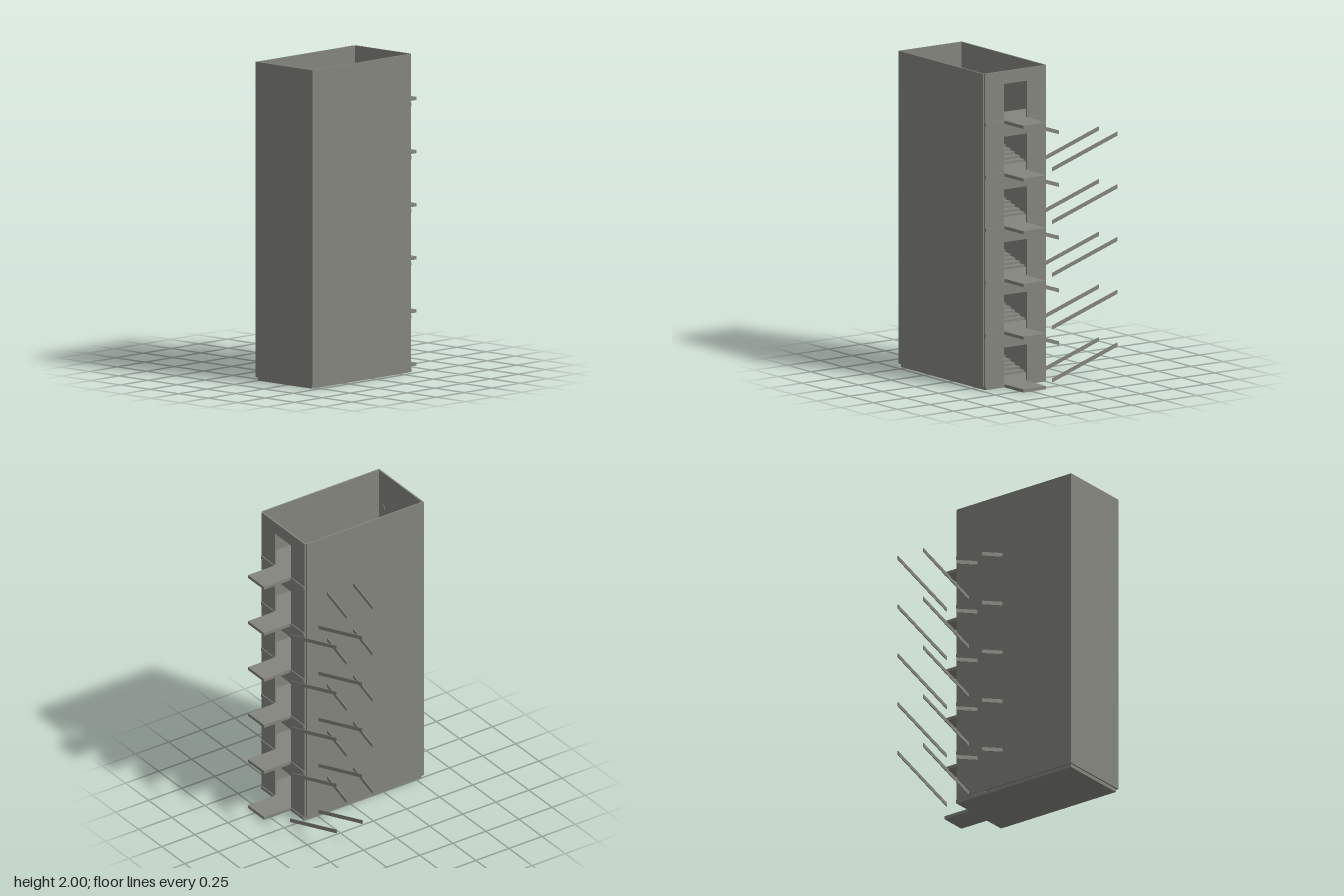
import * as THREE from 'three';

const PITCH = 1 / 3;          // storey height
const HALF = PITCH / 2;       // rise of one flight
const FLOOR = 0.022;          // top of the ground slab
const RUN = 0.5, STEPS = 10;

const concrete = new THREE.MeshStandardMaterial({ color: 0x84857e });
concrete.name = 'concrete grey';

// Box given by its limits on each axis
function box(name, x0, x1, y0, y1, z0, z1) {
  const mesh = new THREE.Mesh(new THREE.BoxGeometry(x1 - x0, y1 - y0, z1 - z0), concrete);
  mesh.position.set((x0 + x1) / 2, (y0 + y1) / 2, (z0 + z1) / 2);
  mesh.name = name;
  return mesh;
}

function extrude(name, points, depth) {
  const shape = new THREE.Shape(points.map(([x, y]) => new THREE.Vector2(x, y)));
  const mesh = new THREE.Mesh(
    new THREE.ExtrudeGeometry(shape, { depth, bevelEnabled: false }), concrete);
  mesh.name = name;
  return mesh;
}

// Side profile of a flight: treads above, sloped soffit below
function flightProfile() {
  const rise = HALF / (STEPS + 1), tread = RUN / STEPS;
  const points = [[0, -0.02]];
  for (let i = 0; i < STEPS; i++) {
    points.push([i * tread, (i + 1) * rise], [(i + 1) * tread, (i + 1) * rise]);
  }
  points.push([RUN, HALF - 0.03]);
  return points;
}

// Sloping bar: 0.5 long in plan, rising by half a storey
const barProfile = [[0, -0.01], [RUN, HALF - 0.01], [RUN, HALF + 0.015], [0, 0.015]];

// Flight climbing along local +x, with a stringer on its well side
function flight(name, wellSide) {
  const group = new THREE.Group();
  group.name = name;
  const steps = extrude('steps', flightProfile(), 0.195);
  const stringer = extrude('stringer', barProfile, 0.005);
  stringer.position.z = wellSide;
  group.add(steps, stringer);
  return group;
}

export function createModel() {
  const model = new THREE.Group();
  model.name = 'stairTower';

  // Outer walls on three sides
  model.add(
    box('rightWall', -0.01, 0, FLOOR, 2, -0.336, 0.55),
    box('leftWall', 0.465, 0.475, FLOOR, 2, -0.336, 0.55),
    box('frontWall', 0, 0.465, FLOOR, 2, 0.54, 0.55),
    box('groundSlab', 0.002, 0.462, 0, FLOOR, -0.336, 0.54));

  for (let k = 0; k < 6; k++) {
    const y = FLOOR + k * PITCH;
    const storey = new THREE.Group();
    storey.name = 'storey' + k;
    model.add(storey);

    // Landing with its lip and the balcony slab behind the doorway
    storey.add(
      box('landingLip', 0.001, 0.464, y - 0.02, y, -0.352, -0.336),
      box('balcony', 0.145, 0.32, y - 0.02, y, -0.55, -0.352));
    if (k > 0) storey.add(box('landing', 0, 0.465, y - 0.02, y, -0.336, -0.13));

    // Back wall panel with a doorway
    const top = k < 5 ? PITCH - 0.02 : 2 - y;
    const back = extrude('backWall', [
      [0, 0], [0.145, 0], [0.145, 0.23], [0.32, 0.23], [0.32, 0],
      [0.465, 0], [0.465, top], [0, top]], 0.011);
    back.position.set(0, y, -0.346);
    storey.add(back);

    // Small round wall lamps
    const lampZ = k < 5 ? [[-0.333, 0.23], [0.538, 0.23 + HALF]] : [[-0.333, 0.23]];
    for (const [z, h] of lampZ) {
      const lamp = new THREE.Mesh(new THREE.CylinderGeometry(0.02, 0.02, 0.005, 16), concrete);
      lamp.rotation.x = Math.PI / 2;
      lamp.position.set(0.42, y + h, z);
      lamp.name = 'wallLamp';
      storey.add(lamp);
    }
    if (k === 5) break;

    // Half landing and the two flights joining it
    storey.add(box('halfLanding', 0, 0.465, y + HALF - 0.02, y + HALF, 0.37, 0.54));
    const lower = flight('lowerFlight', -0.005);
    lower.rotation.y = -Math.PI / 2;
    lower.position.set(0.2, y, -0.13);
    const upper = flight('upperFlight', -0.005);
    upper.rotation.y = Math.PI / 2;
    upper.position.set(0.267, y + HALF, 0.37);
    storey.add(lower, upper);

    // Sloping bars reaching out through the right wall
    for (const z of [-0.442, -0.246]) {
      const bar = extrude('lowerBar', barProfile, 0.005);
      bar.rotation.y = Math.PI;
      bar.position.set(0.02, y, z + 0.005);
      storey.add(bar);
    }
    for (const z of [-0.183, 0.013]) {
      const bar = extrude('upperBar', barProfile, 0.005);
      bar.position.set(-0.22, y + HALF - 0.003, z);
      storey.add(bar);
    }
  }
  return model;
}
